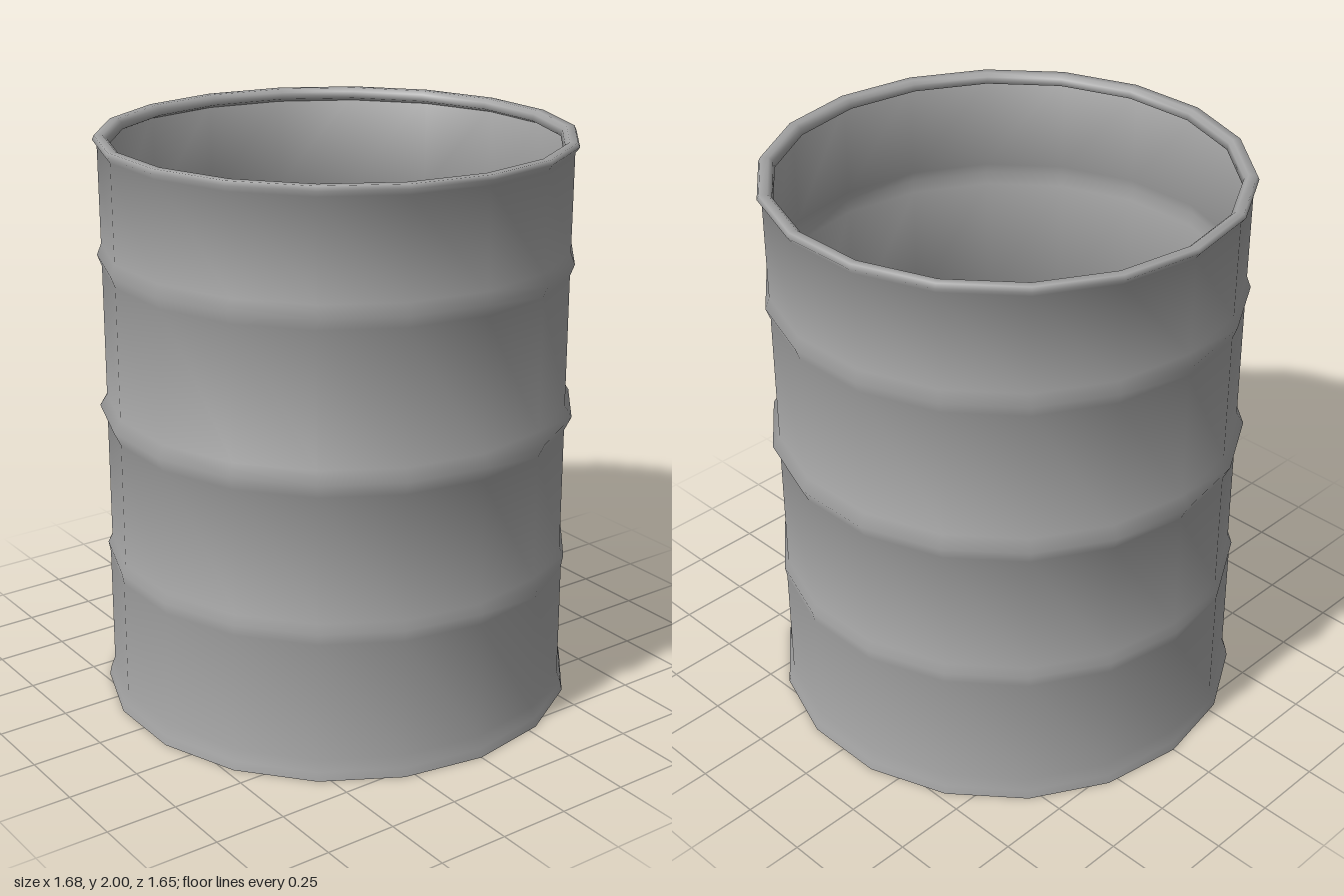
import * as THREE from 'three';

const SIDES = 18;

// Unit normal of the profile step from a to b, pointing out of the drum
const stepNormal = (a, b) => new THREE.Vector2(b[1] - a[1], a[0] - b[0]).normalize();

export function createModel() {
  const model = new THREE.Group();
  model.name = 'barrel';
  const material = new THREE.MeshStandardMaterial({ color: 0xa3a3a3, side: THREE.DoubleSide });

  // Turn a [radius, height] profile into a ring with a corner on the x axis.
  // Neighbouring steps weigh equally in the normals, so the hoops shade softly into the wall;
  // "before" is the point the first step blends with.
  const turn = (name, profile, before) => {
    const points = profile.map(([r, y]) => new THREE.Vector2(r, y));
    const geometry = new THREE.LatheGeometry(points, SIDES, Math.PI / 2);
    const chain = before ? [before, ...profile] : profile;
    const steps = chain.slice(1).map((p, k) => stepNormal(chain[k], p));
    const first = before ? 0 : -1;
    const { normal } = geometry.attributes;
    for (let i = 0; i < normal.count; i++) {
      const k = (i % profile.length) + first;
      const n = new THREE.Vector2();
      if (steps[k]) n.add(steps[k]);
      if (steps[k + 1]) n.add(steps[k + 1]);
      n.normalize();
      const angle = Math.PI / 2 + (Math.floor(i / profile.length) * Math.PI * 2) / SIDES;
      normal.setXYZ(i, n.x * Math.sin(angle), n.y, n.x * Math.cos(angle));
    }
    const mesh = new THREE.Mesh(geometry, material);
    mesh.name = name;
    model.add(mesh);
  };

  // Flared foot, thin wall with three raised hoops, and the rolled lip of the open top
  turn('drumShell', [
    [0.838, 0], [0.832, 0.03], [0.817, 0.07],
    [0.815, 0.49], [0.822, 0.53], [0.807, 0.56],
    [0.805, 1.0], [0.829, 1.05], [0.804, 1.09],
    [0.802, 1.55], [0.817, 1.59], [0.802, 1.63],
    [0.802, 1.965], [0.817, 1.985], [0.81, 2], [0.782, 2],
    [0.768, 1.988], [0.764, 1.965], [0.802, 1.95],
  ]);

  // Flat floor, recessed above the foot and blended into the wall
  turn('floor', [[0.828, 0.04], [0, 0.04]], [0.828, 1]);

  return model;
}
